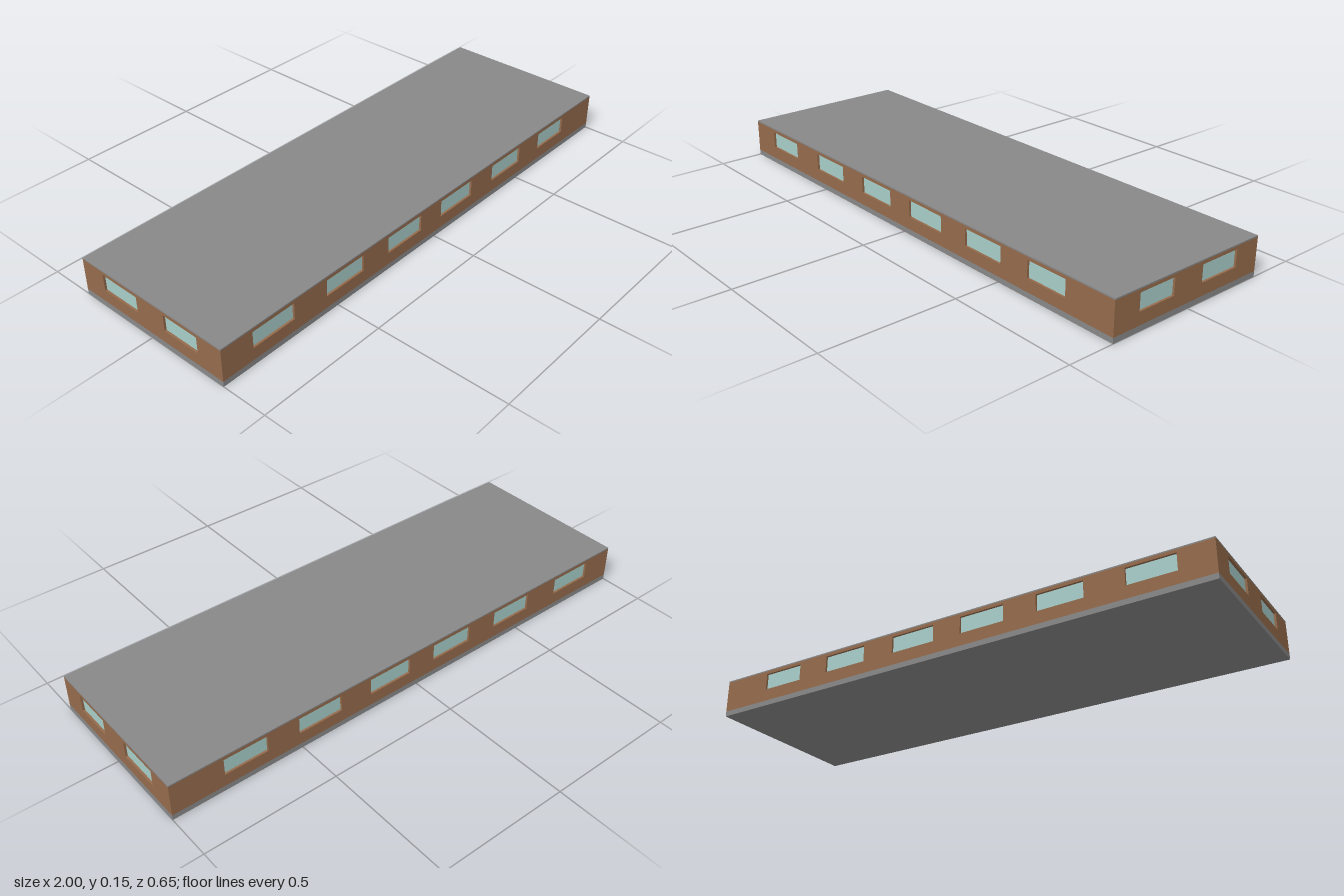
import * as THREE from 'three';

const W = 2, D = 0.654;                                // footprint
const BASE = 0.02, WALL_TOP = 0.142, TOP = 0.147;      // level heights
const SILL = 0.067, HEAD = 0.13;                       // window opening
const THICK = 0.02, RECESS = 0.008;

const FRONT_BAYS = [[-0.873, -0.697], [-0.55, -0.375], [-0.25, -0.077],
  [0.034, 0.21], [0.336, 0.511], [0.636, 0.802]];
const SIDE_BAYS = [[-0.22, -0.068], [0.06, 0.225]];    // along -z

function material(name, color) {
  const m = new THREE.MeshStandardMaterial({ color });
  m.name = name;
  return m;
}

function addBox(parent, name, mat, w, h, d, x, y, z) {
  const mesh = new THREE.Mesh(new THREE.BoxGeometry(w, h, d), mat);
  mesh.name = name;
  mesh.position.set(x, y, z);
  parent.add(mesh);
}

function rect(Type, x0, x1, y0, y1) {
  const r = new Type();
  r.moveTo(x0, y0);
  r.lineTo(x1, y0);
  r.lineTo(x1, y1);
  r.lineTo(x0, y1);
  r.closePath();
  return r;
}

// Wall with its outer face on local z = 0, pierced by recessed windows
function wall(name, width, bays, brick, glass) {
  const group = new THREE.Group();
  group.name = name;
  const shape = rect(THREE.Shape, -width / 2, width / 2, BASE, WALL_TOP);
  for (const [a, b] of bays) shape.holes.push(rect(THREE.Path, a, b, SILL, HEAD));
  const geo = new THREE.ExtrudeGeometry(shape, { depth: THICK, bevelEnabled: false });
  geo.translate(0, 0, -THICK);
  const panel = new THREE.Mesh(geo, brick);
  panel.name = name + 'Panel';
  group.add(panel);
  for (const [a, b] of bays) {
    addBox(group, 'windowPane', glass, b - a, HEAD - SILL, 0.006,
      (a + b) / 2, (SILL + HEAD) / 2, -RECESS - 0.003);
  }
  return group;
}

export function createModel() {
  const model = new THREE.Group();
  model.name = 'longBuilding';
  const brick = material('brownBrick', 0x956b4c);
  const glass = material('paleGlass', 0xa8cec9);
  const concrete = material('greyConcrete', 0x888888);

  // Floor slab and flat roof
  addBox(model, 'foundation', concrete, W, BASE, D, 0, BASE / 2, 0);
  addBox(model, 'roof', concrete, W, TOP - WALL_TOP, D, 0, (TOP + WALL_TOP) / 2, 0);

  // Long walls, with matching bays front and back
  const mirrored = (bays) => bays.map(([a, b]) => [-b, -a]);
  const front = wall('frontWall', W, FRONT_BAYS, brick, glass);
  front.position.z = D / 2;
  const back = wall('backWall', W, mirrored(FRONT_BAYS), brick, glass);
  back.position.z = -D / 2;
  back.rotation.y = Math.PI;

  // End walls fit between the long walls
  const left = wall('leftWall', D - 2 * THICK, SIDE_BAYS, brick, glass);
  left.position.x = W / 2;
  left.rotation.y = Math.PI / 2;
  const right = wall('rightWall', D - 2 * THICK, mirrored(SIDE_BAYS), brick, glass);
  right.position.x = -W / 2;
  right.rotation.y = -Math.PI / 2;

  model.add(front, back, left, right);
  return model;
}
